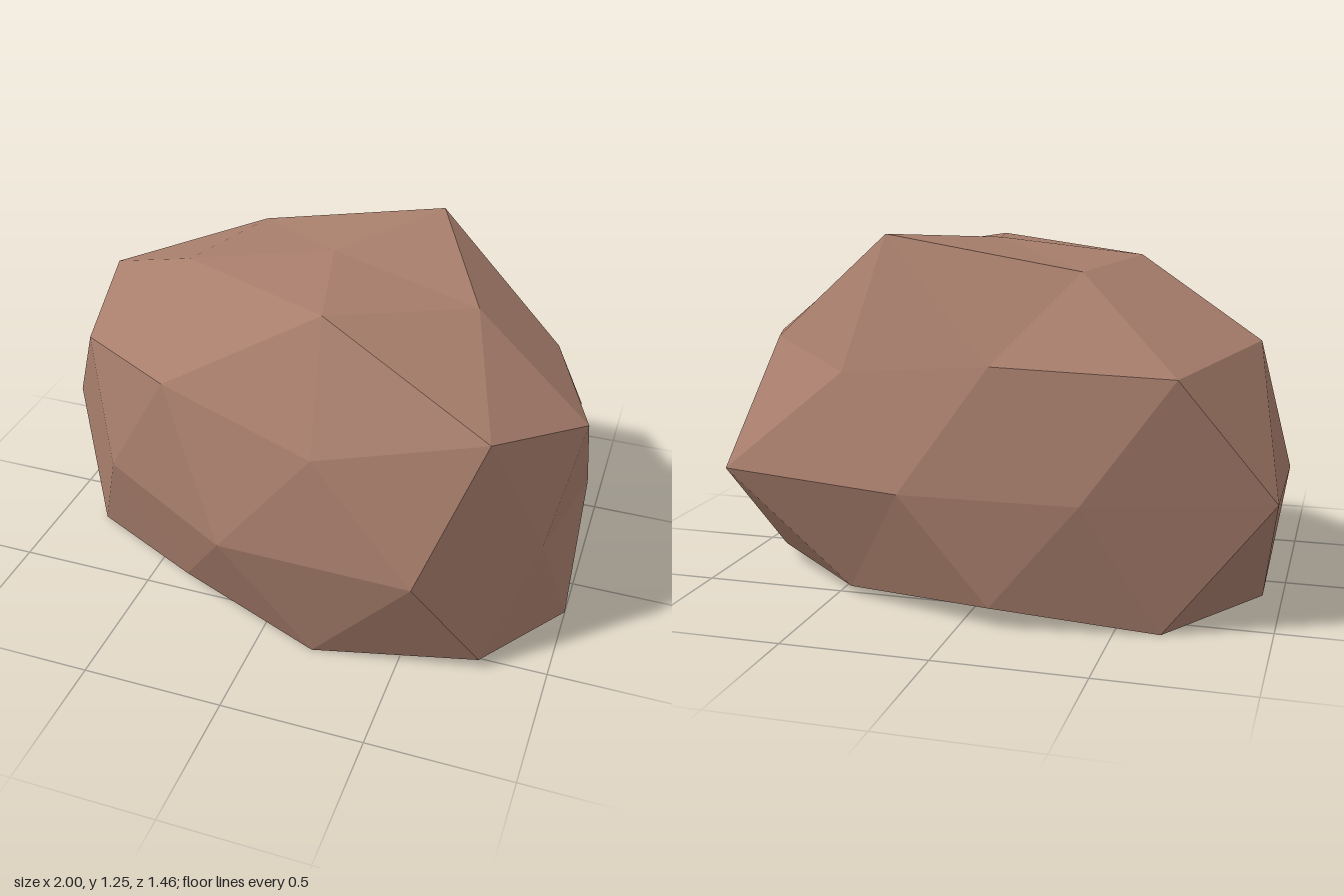
import * as THREE from 'three';

// Faceted boulder: a 42-point icosphere pushed out of shape, with its base cut flat.
// Each ring runs from +x round through +z; rings hold [x, y, z] points.
const top = [0.05, 1.21, -0.02];
const crown = [[0.59, 1.13, 0.08], [0.15, 1.19, 0.4], [-0.445, 1.15, 0.09], [-0.325, 1.13, -0.35], [0.34, 1.245, -0.41]];
const shoulder = [
  [1, 0.81, 0.165], [0.75, 0.915, 0.54], [0.2, 0.81, 0.66], [-0.37, 0.905, 0.53], [-0.815, 0.82, 0.195],
  [-0.905, 0.91, -0.24], [-0.69, 0.84, -0.64], [-0.09, 0.855, -0.655], [0.45, 0.795, -0.56], [0.82, 0.855, -0.245],
];
const waist = [
  [0.92, 0.37], [0.565, 0.73], [-0.11, 0.72], [-0.65, 0.41], [-1, -0.02],
  [-1, -0.525], [-0.4, -0.715], [0.2, -0.73], [0.89, -0.565], [1, -0.05],
].map(([x, z]) => [x, 0.435, z]);
const foot = [
  [1, 0, 0.165], [0.77, 0.04, 0.55], [0.2, 0, 0.65], [-0.33, 0.09, 0.51], [-0.82, 0, 0.2],
  [-0.94, 0.035, -0.25], [-0.65, 0, -0.61], [-0.1, 0.07, -0.705], [0.45, 0.03, -0.52], [0.82, 0.07, -0.25],
];
// The flat underside lies inside the foot ring
const base = [1, 3, 5, 7, 9].map((i) => [foot[i][0] * 0.58, 0, foot[i][2] * 0.58]);
const bottom = [0, 0, 0];

function boulderGeometry() {
  const points = [];
  const face = (a, b, c) => points.push(...a, ...b, ...c);
  for (let k = 0; k < 5; k++) {
    const n = (k + 1) % 5;
    const i = 2 * k, j = i + 1, m = 2 * n;
    // cap
    face(top, crown[n], crown[k]);
    // crown to shoulder
    face(crown[k], crown[n], shoulder[j]);
    face(crown[k], shoulder[j], shoulder[i]);
    face(crown[n], shoulder[m], shoulder[j]);
    // shoulder to waist
    face(shoulder[i], shoulder[j], waist[i]);
    face(shoulder[j], waist[j], waist[i]);
    face(shoulder[j], shoulder[m], waist[j]);
    face(shoulder[m], waist[m], waist[j]);
    // waist to foot
    face(waist[i], waist[j], foot[j]);
    face(waist[i], foot[j], foot[i]);
    face(waist[j], foot[m], foot[j]);
    face(waist[j], waist[m], foot[m]);
    // underside
    face(foot[i], foot[j], base[k]);
    face(foot[j], foot[m], base[k]);
    face(base[k], foot[m], base[n]);
    face(base[k], base[n], bottom);
  }
  const geometry = new THREE.BufferGeometry();
  geometry.setAttribute('position', new THREE.Float32BufferAttribute(points, 3));
  geometry.computeVertexNormals(); // unshared corners give flat facets
  return geometry;
}

export function createModel() {
  const stone = new THREE.MeshStandardMaterial({ color: 0xa87e6c });
  stone.name = 'brownStone';
  const boulder = new THREE.Mesh(boulderGeometry(), stone);
  boulder.name = 'boulder';
  const model = new THREE.Group();
  model.name = 'rock';
  model.add(boulder);
  return model;
}
